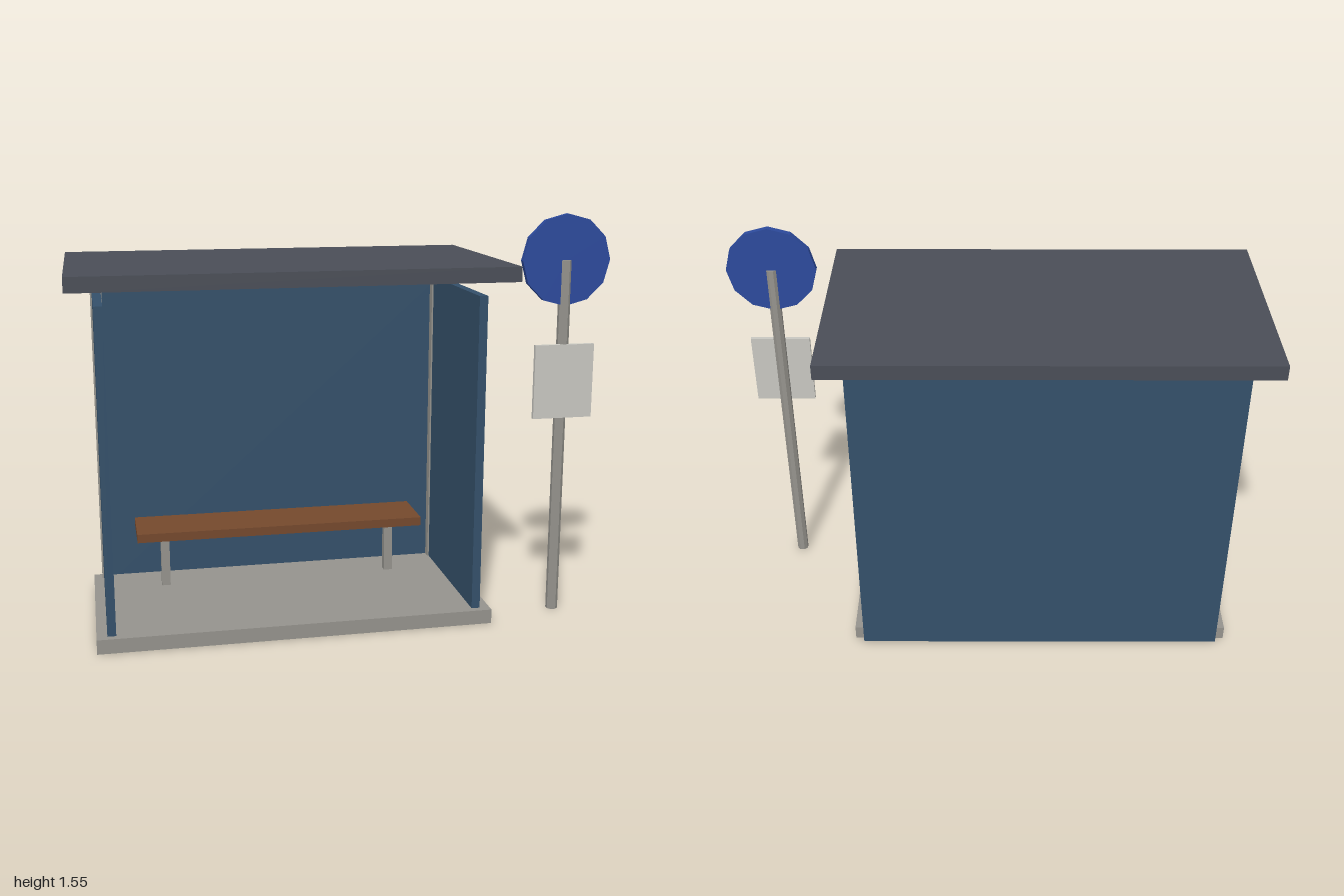
import * as THREE from 'three';

const material = (name, color) => {
  const m = new THREE.MeshStandardMaterial({ color, flatShading: true });
  m.name = name;
  return m;
};

export function createModel() {
  const concrete = material('grey concrete and metal', 0x95938d);
  const panel = material('dark blue panel', 0x34506a);
  const roofing = material('slate roof', 0x4a4e57);
  const wood = material('brown wood', 0x75492d);
  const signBlue = material('sign blue', 0x2c4a9c);
  const board = material('pale board', 0xc8c7c1);

  const model = new THREE.Group();
  model.name = 'busStop';

  const add = (parent, name, geometry, mat) => {
    const mesh = new THREE.Mesh(geometry, mat);
    mesh.name = name;
    parent.add(mesh);
    return mesh;
  };
  // box given by its lower and upper limits on each axis
  const box = (parent, name, mat, [x0, x1], [y0, y1], [z0, z1]) => {
    const g = new THREE.BoxGeometry(x1 - x0, y1 - y0, z1 - z0);
    g.translate((x0 + x1) / 2, (y0 + y1) / 2, (z0 + z1) / 2);
    return add(parent, name, g, mat);
  };

  // Shelter, centred on its own x = 0
  const shelter = new THREE.Group();
  shelter.name = 'shelter';
  shelter.position.x = -0.202;
  model.add(shelter);

  box(shelter, 'floorSlab', concrete, [-0.743, 0.743], [0.002, 0.057], [-0.311, 0.372]);
  box(shelter, 'roof', roofing, [-0.8, 0.8], [1.318, 1.373], [-0.429, 0.429]);
  box(shelter, 'backPanel', panel, [-0.709, 0.709], [0, 1.26], [-0.331, -0.297]);

  // Mirrored side panels, rear posts and bench legs
  for (const [side, s] of [['left', 1], ['right', -1]]) {
    const span = (a, b) => (s > 0 ? [a, b] : [-b, -a]);
    box(shelter, side + 'SidePanel', panel, span(0.672, 0.704), [0, 1.26], [-0.297, 0.345]);
    box(shelter, side + 'Post', concrete, span(0.666, 0.711), [0.03, 1.32], [-0.308, -0.262]);
    box(shelter, side + 'BenchLeg', concrete, span(0.442, 0.476), [0.05, 0.28], [-0.167, -0.133]);
  }
  box(shelter, 'benchSeat', wood, [-0.571, 0.571], [0.274, 0.308], [-0.264, -0.038]);

  // Free-standing stop sign pole with round sign and timetable
  const sign = new THREE.Group();
  sign.name = 'stopSign';
  sign.position.set(0.828, 0, 0.259);
  model.add(sign);

  const pole = add(sign, 'pole', new THREE.CylinderGeometry(0.023, 0.023, 1.375, 8), concrete);
  pole.position.y = 1.375 / 2;
  pole.rotation.y = Math.PI / 8;

  const disc = add(sign, 'roundSign', new THREE.CylinderGeometry(0.171, 0.171, 0.023, 12), signBlue);
  disc.rotation.x = Math.PI / 2;
  disc.position.y = 1.375;

  box(sign, 'timetableBoard', board, [-0.116, 0.116], [0.778, 1.06], [0.012, 0.028]);

  return model;
}
